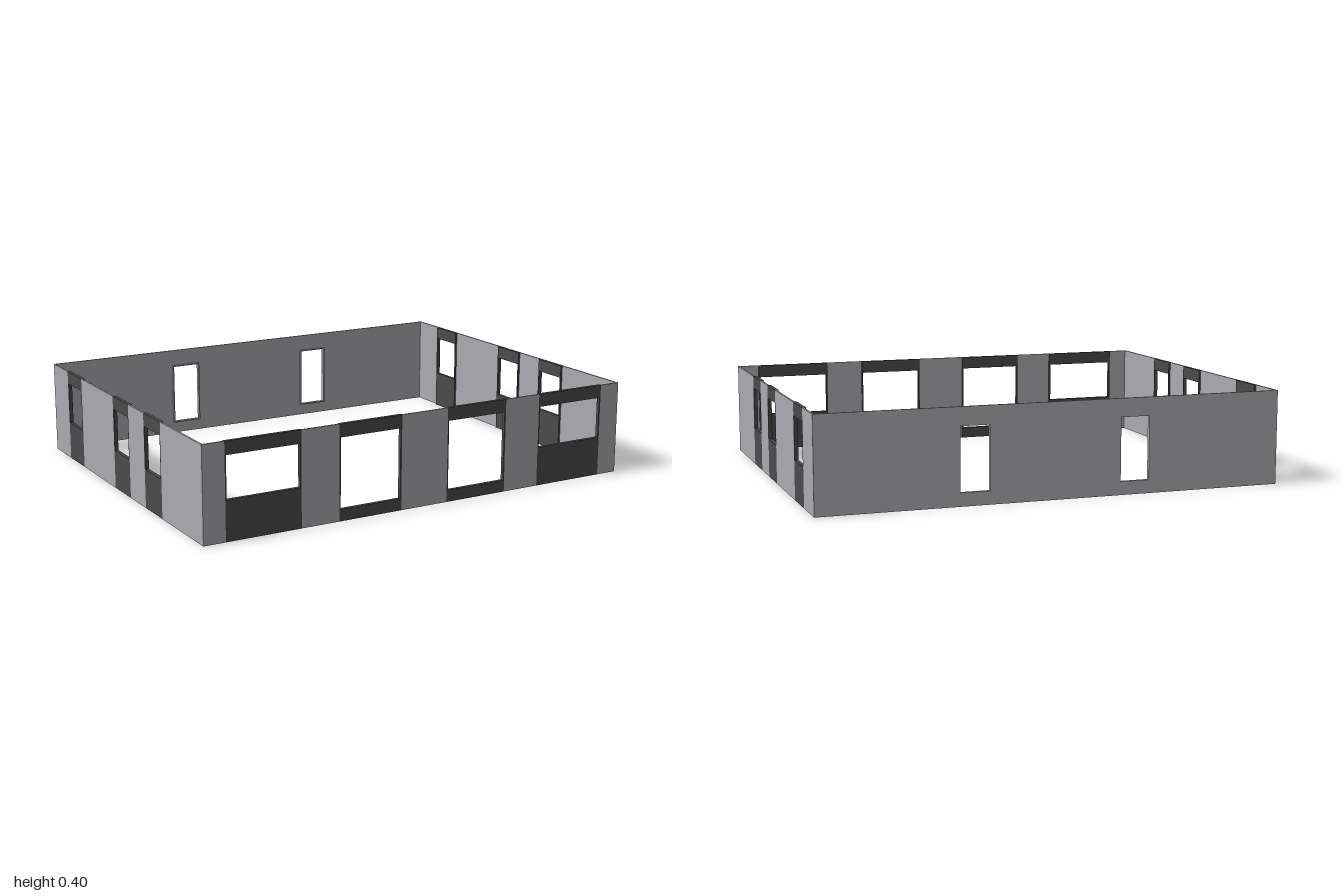
import * as THREE from 'three';

const H = 0.4, HALF_X = 0.995, HALF_Z = 0.78;
const WALL_T = 0.008, PANEL_T = 0.016, FRAME = 0.006;

export function createModel() {
  const model = new THREE.Group();
  model.name = 'wallRing';
  const wallGrey = new THREE.MeshStandardMaterial({ color: 0xababb0 });
  wallGrey.name = 'wall grey';
  const panelDark = new THREE.MeshStandardMaterial({ color: 0x4a4a4a });
  panelDark.name = 'panel charcoal';

  // Box whose outer face lies on local z = 0 and whose depth goes inward
  function slab(parent, name, material, x0, x1, y0, y1, depth) {
    const mesh = new THREE.Mesh(new THREE.BoxGeometry(x1 - x0, y1 - y0, depth), material);
    mesh.position.set((x0 + x1) / 2, (y0 + y1) / 2, -depth / 2);
    mesh.name = name;
    parent.add(mesh);
  }

  // Wall of plain piers with openings filled above and below, lined by a thin frame
  function wall(name, half, openings) {
    const group = new THREE.Group();
    group.name = name;
    let x = -half;
    for (const { x0, x1, y0, y1, material, depth } of openings) {
      slab(group, 'pier', wallGrey, x, x0, 0, H, WALL_T);
      slab(group, 'panelBelow', material, x0, x1, 0, y0, depth);
      slab(group, 'panelAbove', material, x0, x1, y1, H, depth);
      slab(group, 'jamb', material, x0, x0 + FRAME, y0, y1, PANEL_T);
      slab(group, 'jamb', material, x1 - FRAME, x1, y0, y1, PANEL_T);
      if (depth < PANEL_T) {
        slab(group, 'frameHead', material, x0 + FRAME, x1 - FRAME, y1 - FRAME, y1, PANEL_T);
        slab(group, 'frameSill', material, x0 + FRAME, x1 - FRAME, y0, y0 + FRAME, PANEL_T);
      }
      x = x1;
    }
    slab(group, 'pier', wallGrey, x, half, 0, H, WALL_T);
    model.add(group);
    return group;
  }

  const windowAt = (x0, x1, y0) => ({ x0, x1, y0, y1: 0.345, material: panelDark, depth: PANEL_T });
  const doorAt = (x0, x1) => ({ x0, x1, y0: 0.05, y1: 0.328, material: wallGrey, depth: WALL_T });

  // Front: two wide windows outside, two tall ones inside
  const front = wall('frontWall', HALF_X, [
    windowAt(-0.9, -0.57, 0.168), windowAt(-0.4, -0.11, 0.05),
    windowAt(0.11, 0.4, 0.05), windowAt(0.57, 0.9, 0.168),
  ]);
  front.position.z = HALF_Z;

  // Back: two narrow openings
  const back = wall('backWall', HALF_X, [doorAt(-0.412, -0.275), doorAt(0.275, 0.412)]);
  back.rotation.y = Math.PI;
  back.position.z = -HALF_Z;

  // Sides: three windows each, at the same z on both
  const spans = [[-0.605, -0.44], [-0.082, 0.082], [0.238, 0.402]];
  for (const side of [1, -1]) {
    const openings = spans
      .map(([a, b]) => (side > 0 ? windowAt(-b, -a, 0.165) : windowAt(a, b, 0.165)))
      .sort((p, q) => p.x0 - q.x0);
    const group = wall(side > 0 ? 'leftWall' : 'rightWall', HALF_Z - WALL_T, openings);
    group.rotation.y = side * Math.PI / 2;
    group.position.x = side * HALF_X;
  }
  return model;
}
